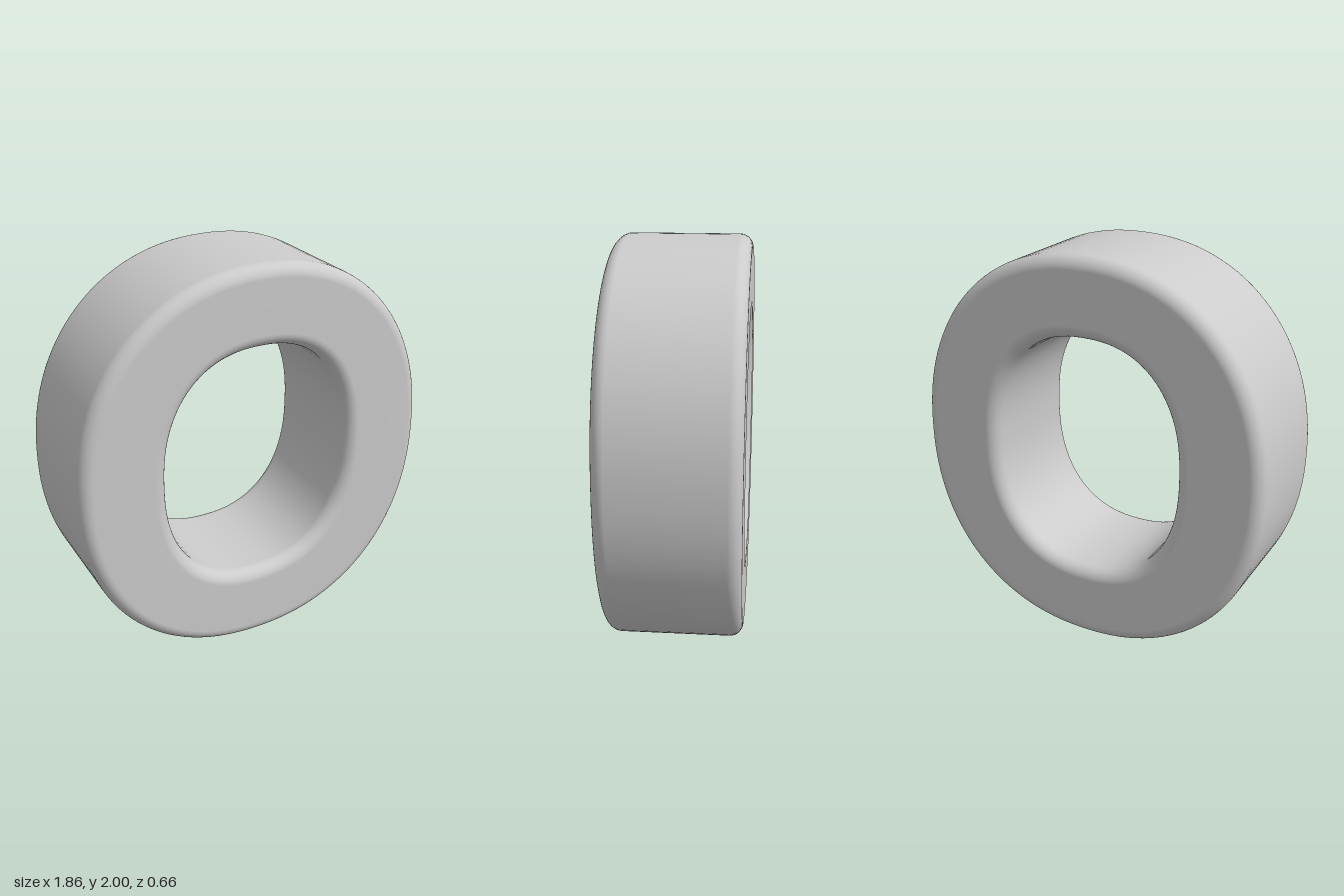
import * as THREE from 'three';

const HALF_DEPTH = 0.33, BEVEL = 0.065, AROUND = 128, STEPS = 8;

// Point on a superellipse at a polar angle, moved inwards along its normal by inset
function ovalPoint(a, b, n, angle, inset) {
  const c = Math.cos(angle), s = Math.sin(angle);
  const r = (Math.abs(c / a) ** n + Math.abs(s / b) ** n) ** (-1 / n);
  const normal = new THREE.Vector2(
    Math.sign(c) * Math.abs(r * c / a) ** (n - 1) / a,
    Math.sign(s) * Math.abs(r * s / b) ** (n - 1) / b
  ).normalize();
  return new THREE.Vector2(r * c, r * s).addScaledVector(normal, -inset);
}

// Rounded rectangular section: outer back, outer front, inner front, inner back
function ringSection() {
  const section = [];
  for (let corner = 0; corner < 4; corner++) {
    const outer = corner < 2;
    const front = corner === 1 || corner === 2;
    for (let k = 0; k <= STEPS; k++) {
      const t = (k / STEPS) * Math.PI / 2;
      const turn = corner % 2 === 0 ? Math.PI / 2 - t : t;
      const inset = BEVEL * (1 - Math.cos(turn));
      const z = HALF_DEPTH - BEVEL + BEVEL * Math.sin(turn);
      section.push({ outer, inset: outer ? inset : -inset, z: front ? z : -z });
    }
  }
  return section;
}

function ovalRingGeometry() {
  const section = ringSection(), m = section.length;
  const positions = [], index = [];
  for (let i = 0; i < AROUND; i++) {
    const angle = (i / AROUND) * Math.PI * 2;
    section.forEach(({ outer, inset, z }, j) => {
      const p = outer
        ? ovalPoint(0.93, 1, 2.17, angle, inset)
        : ovalPoint(0.497, 0.605, 2.35, angle, inset);
      positions.push(p.x, p.y + 1, z);
      const i2 = ((i + 1) % AROUND) * m, j2 = (j + 1) % m;
      const a = i * m + j, b = i2 + j, c = i2 + j2, d = i * m + j2;
      index.push(a, b, c, a, c, d);
    });
  }
  const geometry = new THREE.BufferGeometry();
  geometry.setAttribute('position', new THREE.Float32BufferAttribute(positions, 3));
  geometry.setIndex(index);
  geometry.computeVertexNormals();
  return geometry;
}

export function createModel() {
  const group = new THREE.Group();
  const ring = new THREE.Mesh(ovalRingGeometry(), new THREE.MeshStandardMaterial({ color: 0xcccccc }));
  ring.name = 'ovalRing';
  group.add(ring);
  return group;
}
